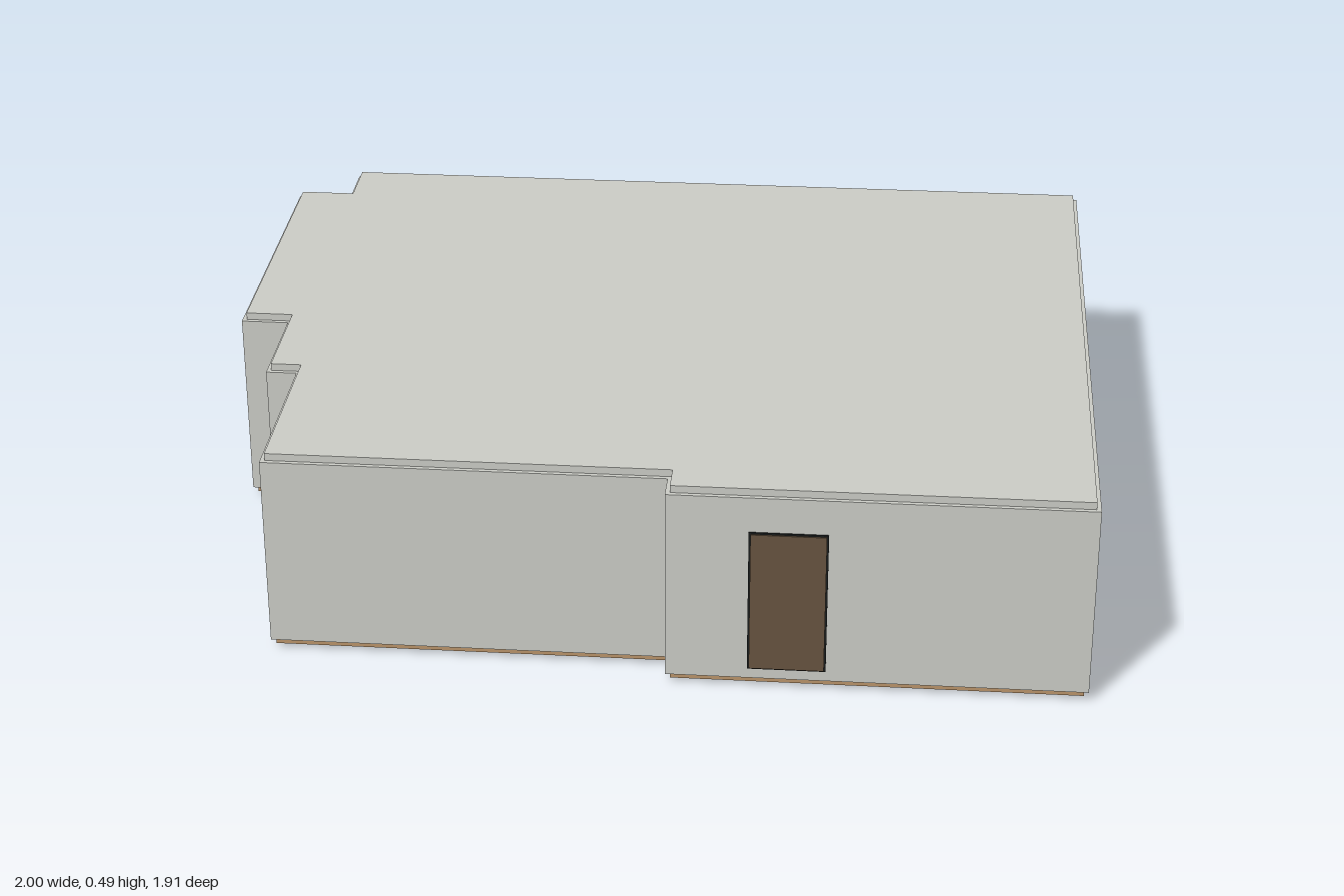
import * as THREE from 'three';

const mat = (name, color) => new THREE.MeshStandardMaterial({ name, color });

export function createModel() {
  const plaster = mat('plaster', 0xcacbc5);
  const wood = mat('wood', 0xb9936a);
  const doorBrown = mat('doorBrown', 0x66533f);
  const iron = mat('iron', 0x191c1c);
  const leaf = mat('leaf', 0x1b2a22);
  leaf.side = THREE.DoubleSide;

  const root = new THREE.Group();
  const add = (name, geo, material, parent = root) => {
    const m = new THREE.Mesh(geo, material);
    m.name = name;
    parent.add(m);
    return m;
  };
  // box given by its minimum and maximum corners
  const box = (name, material, x0, y0, z0, x1, y1, z1, parent) => {
    const m = add(name, new THREE.BoxGeometry(x1 - x0, y1 - y0, z1 - z0), material, parent);
    m.position.set((x0 + x1) / 2, (y0 + y1) / 2, (z0 + z1) / 2);
    return m;
  };
  // plan outline [x, z] raised from y0 to y1
  const slab = (name, material, pts, y0, y1) => {
    const shape = new THREE.Shape(pts.map(([x, z]) => new THREE.Vector2(x, -z)));
    const geo = new THREE.ExtrudeGeometry(shape, { depth: y1 - y0, bevelEnabled: false });
    geo.rotateX(-Math.PI / 2).translate(0, y0, 0);
    return add(name, geo, material);
  };
  // moves every edge of a right-angled outline inward
  const inset = (pts, d) => pts.map((p, i) => {
    const a = pts[(i + pts.length - 1) % pts.length], b = pts[(i + 1) % pts.length];
    const n = (u, v) => [Math.sign(v[1] - u[1]), -Math.sign(v[0] - u[0])];
    const n1 = n(a, p), n2 = n(p, b);
    return [p[0] + d * (n1[0] + n2[0]), p[1] + d * (n1[1] + n2[1])];
  });

  // Building shell
  const zb = -0.69;
  const plan = [
    [-0.87, zb], [-0.87, -0.55], [-1, -0.55], [-1, 0.19], [-0.89, 0.19], [-0.89, 0.45],
    [-0.82, 0.45], [-0.82, 0.88], [0.07, 0.88], [0.07, 0.95], [0.995, 0.95], [0.995, zb],
  ];
  const inner = inset(plan, 0.02);
  const [dx0, dx1, top] = [0.765, 0.945, 0.41];
  const ring = [
    [dx0, zb], ...plan, [dx1, zb],
    [dx1, zb + 0.02], ...inner.slice().reverse(), [dx0, zb + 0.02],
  ];
  slab('walls', plaster, ring, 0.025, 0.475);
  box('doorwayLintel', plaster, dx0, top, zb, dx1, 0.475, zb + 0.02);
  slab('floor', wood, inset(plan, 0.01), 0.01, 0.025);
  slab('roof', plaster, inset(plan, 0.01), 0.475, 0.492);

  // Front door with thin edging
  box('frontDoorFrame', iron, 0.25, 0.05, 0.945, 0.422, 0.392, 0.953);
  box('frontDoor', doorBrown, 0.254, 0.053, 0.947, 0.418, 0.388, 0.956);

  // Balcony doorway trim
  const trim = new THREE.Group();
  trim.name = 'doorwayTrim';
  root.add(trim);
  for (const x of [dx0, dx1]) box('trimPost', plaster, x - 0.006, 0.025, zb - 0.005, x + 0.006, top, zb + 0.02, trim);
  box('trimHead', plaster, dx0, top - 0.01, zb - 0.005, dx1, top, zb + 0.02, trim);

  // Rear windows: two panes in a slim dark frame
  for (const [x0, x1] of [[0.33, 0.73], [-0.33, 0.125], [-0.855, -0.465]]) {
    const w = new THREE.Group();
    w.name = 'window';
    root.add(w);
    const [y0, y1] = [0.165, top];
    box('pane', plaster, x0, y0, zb - 0.003, x1, y1, zb, w);
    for (const x of [x0, (x0 + x1) / 2, x1])
      box('windowPost', iron, x - 0.005, y0, zb - 0.006, x + 0.005, y1, zb, w);
    for (const y of [y0, y1])
      box('windowRail', iron, x0, y - 0.002, zb - 0.006, x1, y + 0.002, zb, w);
  }

  // Balcony slab and railing
  const edge = [[0.26, zb], [0.26, -0.84], [0.38, -0.955], [0.87, -0.955], [0.99, -0.84], [0.99, zb]];
  slab('balconySlab', plaster, edge, 0, 0.025);
  const railing = new THREE.Group();
  railing.name = 'railing';
  root.add(railing);
  const path = [[0.267, zb], [0.267, -0.837], [0.383, -0.948], [0.867, -0.948], [0.983, -0.837], [0.983, zb]];
  for (let i = 0; i < path.length - 1; i++) {
    const [ax, az] = path[i], [bx, bz] = path[i + 1];
    const len = Math.hypot(bx - ax, bz - az);
    const bar = (name, material, y, h, d) => {
      const m = add(name, new THREE.BoxGeometry(len + d * 0.4, h, d), material, railing);
      m.position.set((ax + bx) / 2, y, (az + bz) / 2);
      m.rotation.y = -Math.atan2(bz - az, bx - ax);
    };
    bar('handrail', plaster, 0.217, 0.007, 0.013);
    bar('upperRail', iron, 0.211, 0.005, 0.007);
    bar('lowerRail', iron, 0.048, 0.006, 0.006);
    const n = Math.round(len / 0.041);
    for (let k = 0; k < n; k++) {
      const t = k / n, x = ax + (bx - ax) * t, z = az + (bz - az) * t;
      const foot = k === 0 ? 0.025 : 0.048;
      box('baluster', iron, x - 0.003, foot, z - 0.003, x + 0.003, 0.213, z + 0.003, railing);
    }
  }

  // Round table
  const table = new THREE.Group();
  table.name = 'table';
  table.position.set(0.495, 0.025, -0.8);
  root.add(table);
  const disc = (name, material, r, h, y, parent) =>
    add(name, new THREE.CylinderGeometry(r, r, h, 28), material, parent).position.set(0, y, 0);
  disc('tableTop', wood, 0.041, 0.008, 0.127, table);
  disc('tableStem', iron, 0.006, 0.12, 0.062, table);
  disc('tableFoot', iron, 0.026, 0.006, 0.003, table);

  // Two chairs facing the table
  for (const [x, s] of [[0.365, -1], [0.62, 1]]) {
    const c = new THREE.Group();
    c.name = 'chair';
    c.position.set(x, 0.025, -0.793);
    root.add(c);
    box('seat', plaster, -0.039, 0.062, -0.039, 0.039, 0.072, 0.039, c);
    const back = box('chairBack', plaster, -0.004, 0.07, -0.039, 0.004, 0.146, 0.039, c);
    back.position.x = s * 0.036;
    for (const lx of [-1, 1]) for (const lz of [-1, 1])
      box('chairLeg', iron, lx * 0.028 - 0.004, 0, lz * 0.028 - 0.004, lx * 0.028 + 0.004, 0.063, lz * 0.028 + 0.004, c);
    for (const lz of [-1, 1])
      box('chairRunner', iron, -0.03, 0.002, lz * 0.028 - 0.004, 0.03, 0.008, lz * 0.028 + 0.004, c);
  }

  // Potted plant
  const plant = new THREE.Group();
  plant.name = 'pottedPlant';
  plant.position.set(0.835, 0.025, -0.89);
  root.add(plant);
  add('pot', new THREE.CylinderGeometry(0.028, 0.022, 0.055, 16), wood, plant).position.y = 0.0275;
  add('stem', new THREE.CylinderGeometry(0.004, 0.005, 0.075, 6), iron, plant).position.y = 0.085;
  for (let i = 0; i < 14; i++) {
    const a = i * 2.4, y = 0.065 + i * 0.005;
    const geo = new THREE.SphereGeometry(1, 6, 4).scale(0.016, 0.003, 0.009).translate(0.018, 0, 0);
    const m = add('leaf', geo, leaf, plant);
    m.position.y = y;
    m.rotation.set(0, a, 0.3 + 0.04 * i);
  }
  return root;
}
